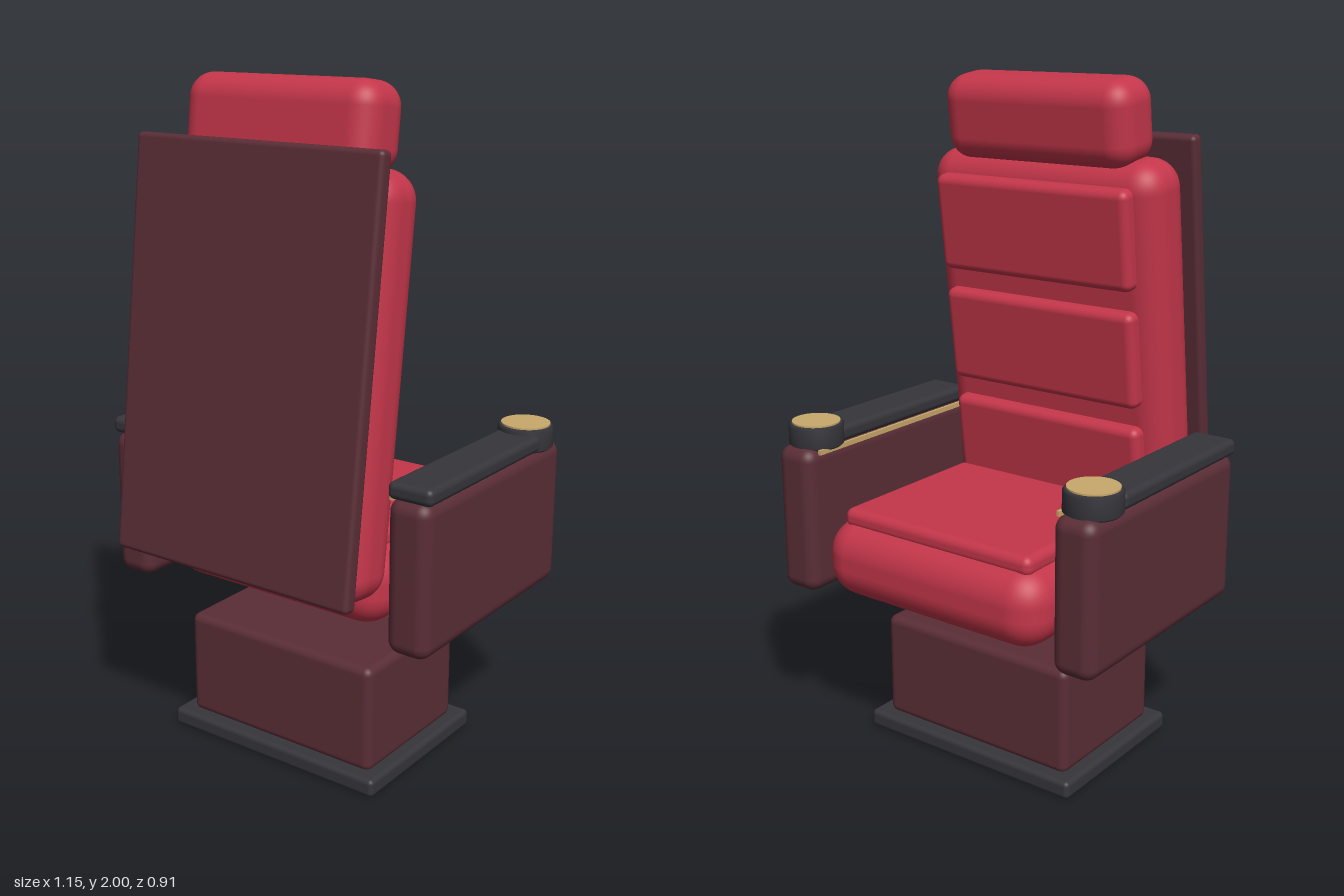
import * as THREE from 'three';
import { RoundedBoxGeometry } from 'three/addons/geometries/RoundedBoxGeometry.js';

const material = (name, color) => {
  const m = new THREE.MeshStandardMaterial({ color });
  m.name = name;
  return m;
};

export function createModel() {
  const red = material('red upholstery', 0xc4364a);
  const maroon = material('maroon shell', 0x5a2d36);
  const dark = material('dark trim', 0x35353b);
  const gold = material('gold accent', 0xc9a96b);

  const model = new THREE.Group();
  model.name = 'reclinerChair';

  const add = (parent, name, geometry, mat, x, y, z) => {
    const mesh = new THREE.Mesh(geometry, mat);
    mesh.name = name;
    mesh.position.set(x, y, z);
    parent.add(mesh);
    return mesh;
  };
  const box = (parent, name, mat, [w, h, d], radius, [x, y, z]) =>
    add(parent, name, new RoundedBoxGeometry(w, h, d, 5, radius), mat, x, y, z);

  // Base
  box(model, 'basePlate', dark, [0.75, 0.055, 0.54], 0.015, [0, 0.0275, 0]);
  box(model, 'pedestal', maroon, [0.67, 0.33, 0.456], 0.025, [0, 0.21, 0]);

  // Seat, facing -z
  box(model, 'seatCushion', red, [0.78, 0.235, 0.74], 0.1, [0, 0.6275, -0.09]);
  box(model, 'seatPad', red, [0.67, 0.06, 0.56], 0.025, [0, 0.75, -0.125]);

  // Reclined back: local origin at the middle of the rear panel
  const back = new THREE.Group();
  back.name = 'backrest';
  back.position.set(0, 1.245, 0.358);
  back.rotation.x = -0.125;
  model.add(back);
  box(back, 'backPanel', maroon, [0.828, 1.203, 0.046], 0.015, [0, 0, 0]);
  box(back, 'backCushion', red, [0.8, 1.17, 0.205], 0.085, [0, -0.03, -0.126]);
  for (let i = 0; i < 3; i++) {
    box(back, 'backPad', red, [0.67, 0.29, 0.08], 0.025, [0, 0.35 - i * 0.352, -0.228]);
  }
  box(back, 'headrest', red, [0.64, 0.247, 0.192], 0.07, [0, 0.655, -0.137]);

  // Armrests with cup holders, mirrored
  for (const side of [1, -1]) {
    const arm = new THREE.Group();
    arm.name = side > 0 ? 'leftArm' : 'rightArm';
    model.add(arm);
    box(arm, 'armBody', maroon, [0.134, 0.45, 0.75], 0.04, [side * 0.497, 0.715, -0.07]);
    box(arm, 'armTop', dark, [0.14, 0.05, 0.6], 0.018, [side * 0.499, 0.96, -0.003]);
    add(arm, 'armStripe', new THREE.BoxGeometry(0.009, 0.015, 0.67), gold, side * 0.426, 0.93, -0.067);

    // Cup holder with softened rims
    const profile = [[0, 0.93], [0.075, 0.93], [0.082, 0.937], [0.082, 0.993], [0.075, 1], [0, 1]]
      .map(([r, y]) => new THREE.Vector2(r, y));
    const cup = new THREE.LatheGeometry(profile, 40);
    add(arm, 'cupHolder', cup, dark, side * 0.495, 0, -0.34);
    add(arm, 'cupDisc', new THREE.CylinderGeometry(0.072, 0.072, 0.008, 40), gold, side * 0.495, 1.001, -0.34);
  }
  return model;
}
